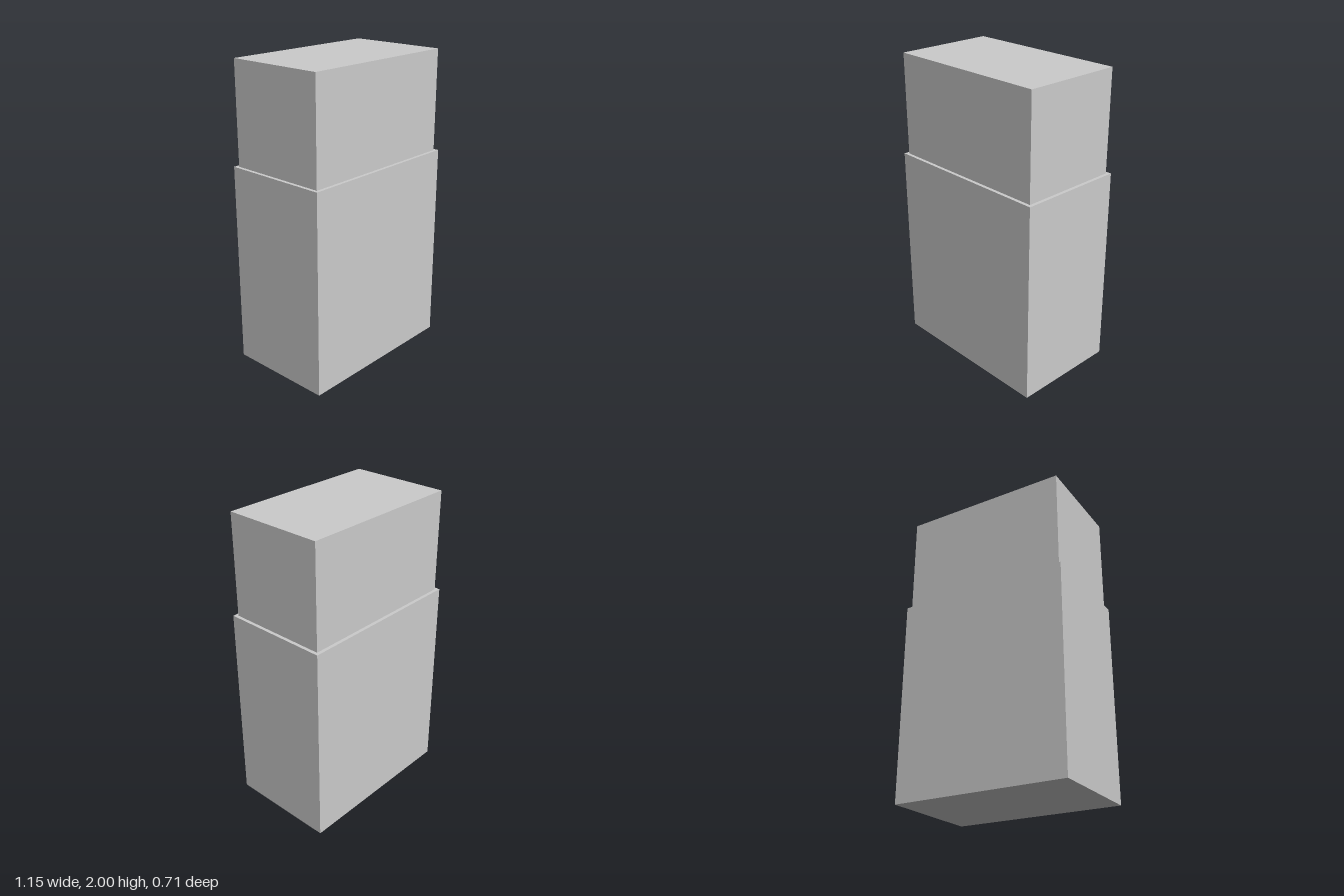
import * as THREE from 'three';

const material = new THREE.MeshStandardMaterial({ color: 0xcccccc, flatShading: true });

// Box standing on the given height
function block(name, width, height, depth, bottom) {
  const mesh = new THREE.Mesh(new THREE.BoxGeometry(width, height, depth), material);
  mesh.name = name;
  mesh.position.y = bottom + height / 2;
  return mesh;
}

export function createModel() {
  const model = new THREE.Group();
  model.name = 'steppedBlock';

  const baseHeight = 1.333;
  // Wide lower block
  model.add(block('lowerBlock', 1.155, baseHeight, 0.711, 0));
  // Slightly inset upper block
  model.add(block('upperBlock', 1.111, 2 - baseHeight, 0.667, baseHeight));

  return model;
}
